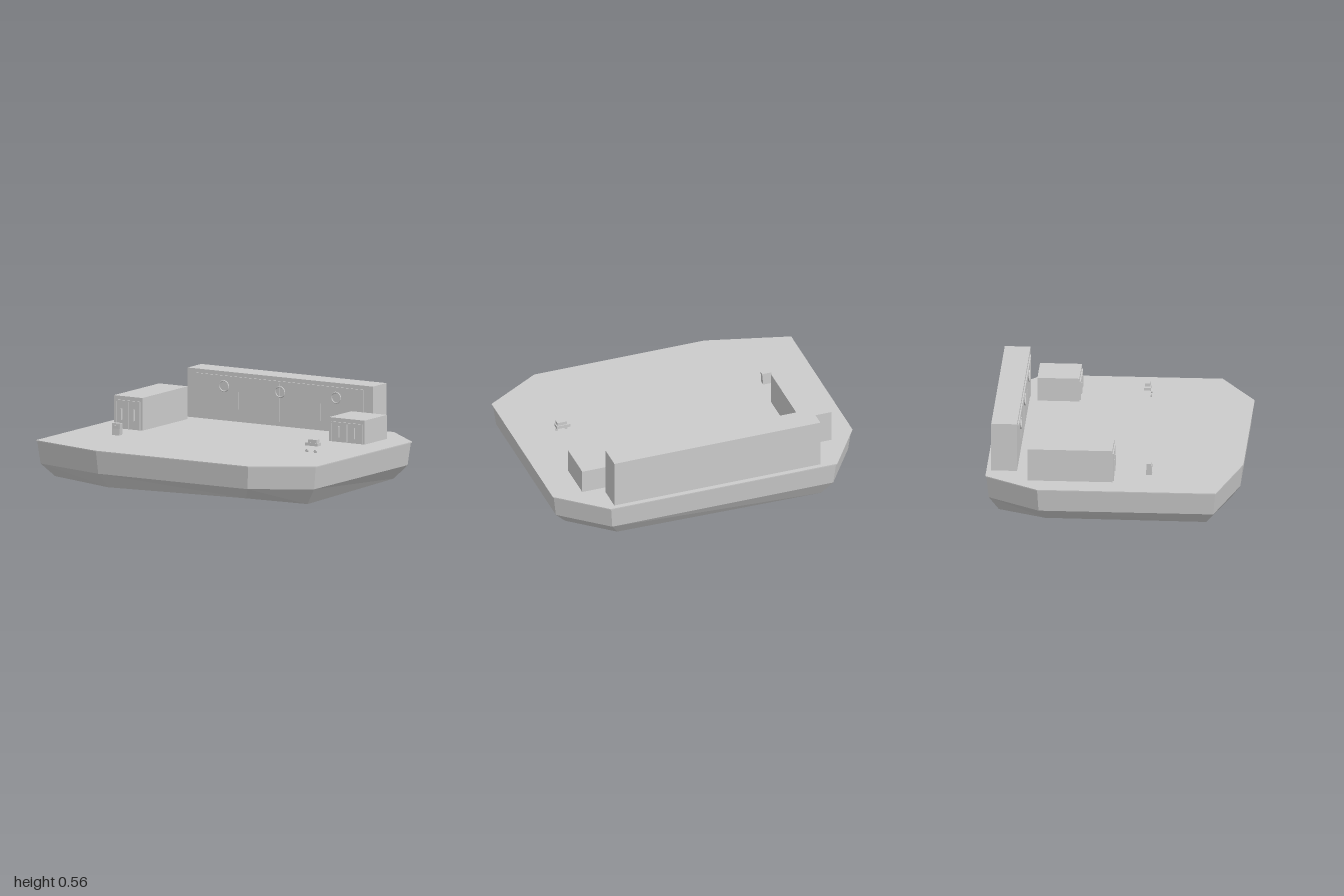
import * as THREE from 'three';

const grey = new THREE.MeshStandardMaterial({ color: 0xcccccc, flatShading: true });

// Deck outline as x, z corners
const OUTLINE = [[-1, -0.46], [-0.78, -0.79], [0.71, -0.79], [1, -0.54],
  [1, 0.57], [0.64, 0.79], [-0.48, 0.79], [-1, 0.65]];
// Uneven heights of the keel corners
const KEEL_Y = [0.03, 0.006, 0.02, 0.02, 0, 0.035, 0.015, 0.026];

function add(parent, name, geometry, x = 0, y = 0, z = 0) {
  const mesh = new THREE.Mesh(geometry, grey);
  mesh.name = name;
  mesh.position.set(x, y, z);
  parent.add(mesh);
  return mesh;
}

// Box given by its minimum and maximum corners
function block(parent, name, [x0, y0, z0], [x1, y1, z1]) {
  return add(parent, name, new THREE.BoxGeometry(x1 - x0, y1 - y0, z1 - z0),
    (x0 + x1) / 2, (y0 + y1) / 2, (z0 + z1) / 2);
}

const ring = (scale, height) => OUTLINE.map(([x, z], i) =>
  new THREE.Vector3(x * scale, typeof height === 'number' ? height : height[i], z * scale));

// Closed solid through rings listed from bottom to top
function loft(rings) {
  const points = [];
  const n = OUTLINE.length;
  const low = rings[0], high = rings[rings.length - 1];
  const middle = r => r.reduce((s, p) => s.add(p), new THREE.Vector3()).divideScalar(n);
  const lowMid = middle(low), highMid = middle(high);
  for (let i = 0; i < n; i++) {
    const j = (i + 1) % n;
    points.push(lowMid, low[i], low[j], highMid, high[j], high[i]);
    for (let k = 0; k + 1 < rings.length; k++) {
      const a = rings[k], b = rings[k + 1];
      points.push(a[i], b[i], b[j], a[i], b[j], a[j]);
    }
  }
  const geometry = new THREE.BufferGeometry().setFromPoints(points);
  geometry.computeVertexNormals();
  return geometry;
}

// Cabinet with a framed pair of doors on its front
function cabinet(name, x0, x1, z0, z1, top) {
  const group = new THREE.Group();
  group.name = name;
  const base = 0.25, mid = (x0 + x1) / 2, t = 0.008;
  block(group, 'cabinetBody', [x0, base, z0], [x1, top, z1]);
  const left = x0 + 0.015, right = x1 - 0.015, sill = base + 0.005, head = top - 0.025;
  block(group, 'doorHead', [left, head - t, z1], [right, head, z1 + t]);
  for (const x of [left, mid - t / 2, right - t])
    block(group, 'doorPost', [x, sill, z1], [x + t, head, z1 + t]);
  for (const side of [-1, 1]) {
    const x = mid + side * (x1 - x0) * 0.22;
    const y = (sill + head) / 2;
    block(group, 'doorHandle', [x - 0.004, y - 0.035, z1], [x + 0.004, y + 0.035, z1 + 0.014]);
  }
  return group;
}

// Long back wall with rail, seams and round fittings
function backWall() {
  const group = new THREE.Group();
  group.name = 'backWall';
  const z = -0.6;
  block(group, 'wallBody', [-0.68, 0.25, -0.76], [0.675, 0.56, z]);
  block(group, 'topRail', [-0.61, 0.522, z], [0.61, 0.534, z + 0.008]);
  block(group, 'endPost', [0.6, 0.26, z], [0.61, 0.522, z + 0.008]);
  for (const [x, y0, y1] of [[-0.31, 0.33, 0.44], [-0.01, 0.28, 0.522], [0.29, 0.31, 0.42]])
    block(group, 'wallSeam', [x - 0.004, y0, z], [x + 0.004, y1, z + 0.006]);
  for (const x of [-0.41, 0, 0.41])
    add(group, 'roundFitting', new THREE.TorusGeometry(0.033, 0.005, 6, 20), x, 0.468, z + 0.008);
  return group;
}

// Small standing unit, narrower at its foot
function standUnit() {
  const group = new THREE.Group();
  group.name = 'standUnit';
  const geometry = new THREE.BoxGeometry(0.062, 0.075, 0.036);
  const p = geometry.attributes.position;
  for (let i = 0; i < p.count; i++) {
    if (p.getY(i) < 0) p.setX(i, p.getX(i) * 0.82);
    else p.setZ(i, p.getZ(i) * 0.75);
  }
  geometry.computeVertexNormals();
  add(group, 'unitBody', geometry, -0.678, 0.29, 0.218);
  block(group, 'unitPanel', [-0.698, 0.295, 0.23], [-0.658, 0.315, 0.237]);
  return group;
}

// Small cart with a raised top and two separate wheels
function cart() {
  const group = new THREE.Group();
  group.name = 'cart';
  block(group, 'cartBody', [0.65, 0.295, 0.104], [0.74, 0.314, 0.146]);
  block(group, 'cartTop', [0.67, 0.314, 0.11], [0.733, 0.334, 0.142]);
  for (const x of [0.664, 0.726]) {
    const wheel = add(group, 'wheel', new THREE.CylinderGeometry(0.01, 0.01, 0.007, 10), x, 0.263, 0.148);
    wheel.rotation.x = Math.PI / 2;
  }
  return group;
}

export function createModel() {
  const model = new THREE.Group();
  model.name = 'floatingPlatform';
  add(model, 'hull', loft([ring(0.9, KEEL_Y), ring(0.975, 0.105), ring(0.993, 0.246)]));
  add(model, 'deck', loft([ring(1, 0.246), ring(1, 0.252)]));
  model.add(backWall(),
    cabinet('longCabinet', -0.84, -0.632, -0.525, 0, 0.457),
    cabinet('shortCabinet', 0.55, 0.81, -0.55, -0.29, 0.402),
    standUnit(), cart());
  return model;
}
